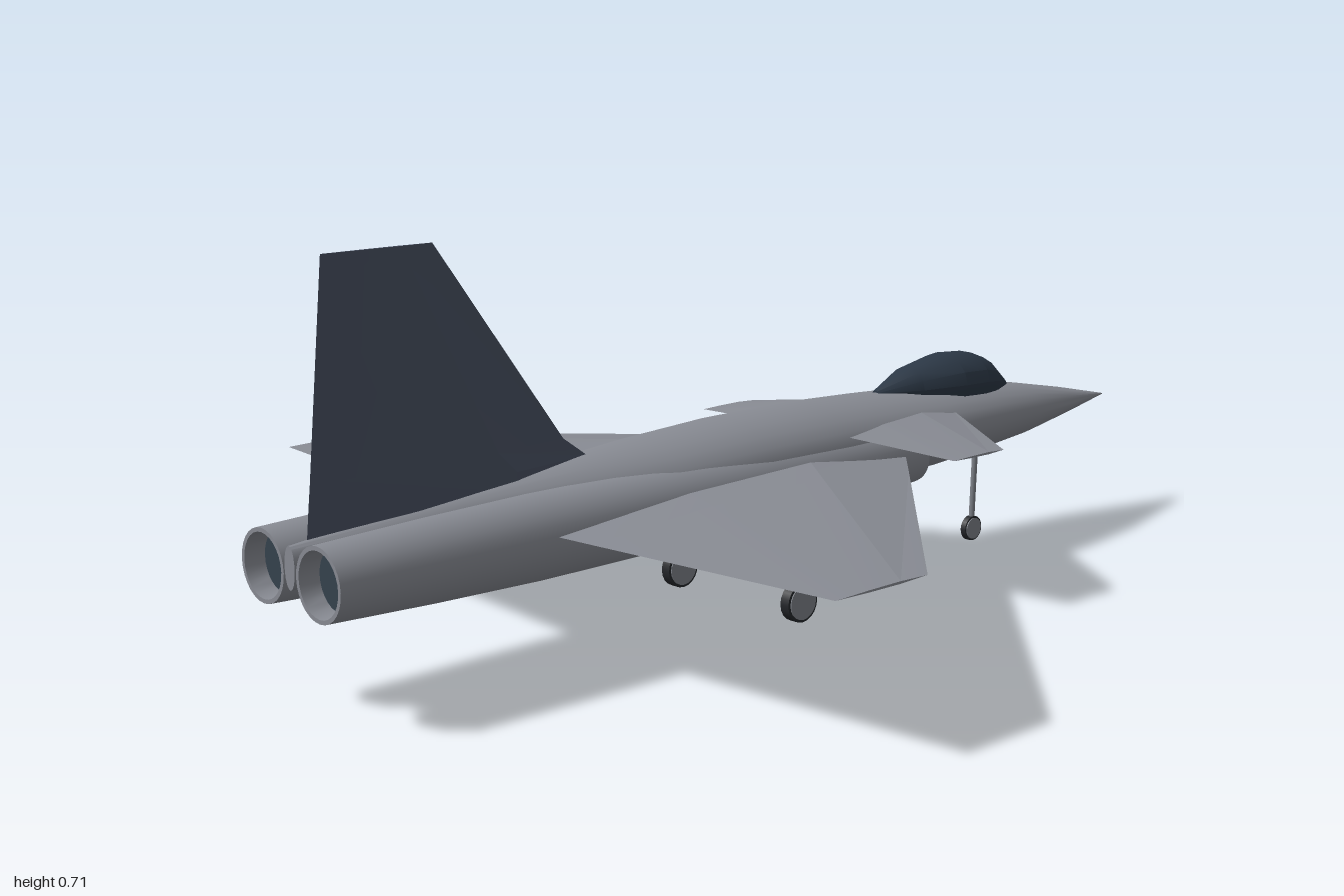
import * as THREE from 'three';
import { toCreasedNormals } from 'three/addons/utils/BufferGeometryUtils.js';

const paint = (name, color) => {
  const m = new THREE.MeshStandardMaterial({ color });
  m.name = name;
  return m;
};

// Closed skin through a list of rings, facing outward, with hard edges above the crease angle
function loft(rings, crease) {
  const n = rings[0].length, pos = rings.flat(2), idx = [];
  rings.forEach((ring, r) => {
    if (r === rings.length - 1) return;
    for (let i = 0; i < n; i++) {
      const a = r * n + i, b = r * n + (i + 1) % n;
      idx.push(a, b, b + n, a, b + n, a + n);
    }
  });
  const last = (rings.length - 1) * n;
  for (let i = 1; i < n - 1; i++) idx.push(0, i + 1, i, last, last + i, last + i + 1);
  // the sign of the enclosed volume tells which way the faces look
  const p = i => new THREE.Vector3(...pos.slice(i * 3, i * 3 + 3));
  let volume = 0;
  for (let i = 0; i < idx.length; i += 3) volume += p(idx[i]).dot(p(idx[i + 1]).cross(p(idx[i + 2])));
  if (volume < 0) idx.reverse();
  const g = new THREE.BufferGeometry();
  g.setAttribute('position', new THREE.Float32BufferAttribute(pos, 3));
  g.setIndex(idx);
  return toCreasedNormals(g, crease);
}

// Oval body from stations [z, half width, top, bottom]
function ovalBody(stations, sides, crease) {
  return loft(stations.map(([z, w, top, bottom]) => Array.from({ length: sides }, (_, i) => {
    const a = i / sides * Math.PI * 2;
    return [Math.cos(a) * w, (top + bottom) / 2 + Math.sin(a) * (top - bottom) / 2, z];
  })), crease);
}

// Faceted aerofoil: leading edge, two upper points, trailing edge, two lower points
const foil = (front, back, mid, up, down) => {
  const at = t => front + (back - front) * t;
  return [[at(0), mid], [at(0.3), mid + up], [at(0.65), mid + up * 0.8],
    [at(1), mid], [at(0.65), mid - down * 0.8], [at(0.3), mid - down]];
};

export function createModel() {
  const model = new THREE.Group();
  model.name = 'jetAircraft';
  const grey = paint('airframe grey', 0x888b93);
  const slate = paint('fin slate', 0x485061);
  const glass = paint('canopy dark blue', 0x2c3846);
  const burner = paint('nozzle dark', 0x35424e);
  const rubber = paint('tyre black', 0x24262a);
  const metal = paint('gear grey', 0x7c8087);

  const add = (name, geometry, material, x = 0, y = 0, z = 0, parent = model) => {
    const mesh = new THREE.Mesh(geometry, material);
    mesh.name = name;
    mesh.position.set(x, y, z);
    parent.add(mesh);
    return mesh;
  };

  // Fuselage, nose toward -z
  add('fuselage', ovalBody([
    [-1, 0.001, 0.246, 0.244], [-0.85, 0.04, 0.279, 0.223], [-0.69, 0.08, 0.31, 0.204],
    [-0.55, 0.1, 0.326, 0.193], [-0.4, 0.117, 0.336, 0.184], [-0.25, 0.122, 0.344, 0.18],
    [-0.1, 0.124, 0.35, 0.18], [0.1, 0.124, 0.35, 0.18], [0.3, 0.117, 0.34, 0.185],
    [0.45, 0.095, 0.33, 0.19], [0.7, 0.055, 0.308, 0.2], [1, 0.014, 0.28, 0.21],
  ], 24, 0.7), grey);

  // Canopy
  add('canopy', ovalBody([
    [-0.665, 0.014, 0.322, 0.296], [-0.59, 0.056, 0.376, 0.29], [-0.55, 0.065, 0.391, 0.284],
    [-0.48, 0.068, 0.396, 0.284], [-0.38, 0.046, 0.38, 0.3], [-0.29, 0.008, 0.346, 0.33],
  ], 14, 0.5), glass);

  // Vertical fin, from the buried root to the tip: [y, front z, back z, half thickness]
  add('fin', loft([
    [0.26, 0.42, 0.97, 0.021], [0.33, 0.42, 0.963, 0.021],
    [0.366, 0.47, 0.959, 0.017], [0.714, 0.722, 0.925, 0.003],
  ].map(([y, front, back, t]) => foil(front, back, 0, t, t).map(([z, x]) => [x, y, z])), 0.1), slate);

  for (const side of [1, -1]) {
    const label = side > 0 ? 'left' : 'right';

    // Wing and foreplane
    const panel = sections => loft(sections.map(([x, ...f]) =>
      foil(...f).map(([z, y]) => [side * x, y, z])), 0.06);
    add(label + 'Wing', panel([
      [0.08, -0.285, 0.605, 0.247, 0.03, 0.036], [0.22, -0.143, 0.594, 0.248, 0.023, 0.034],
      [0.712, 0.36, 0.556, 0.253, 0.002, 0.002],
    ]), grey);
    add(label + 'Foreplane', panel([
      [0.07, -0.428, -0.094, 0.302, 0.012, 0.012], [0.325, -0.28, -0.145, 0.283, 0.002, 0.002],
    ]), grey);

    // Engine tube with a hollow exhaust
    const profile = [[0, -0.3], [0.054, -0.3], [0.066, -0.15], [0.069, 0.2], [0.071, 0.6],
      [0.067, 0.8], [0.06, 1], [0.053, 1], [0.05, 0.96]].map(([r, z]) => new THREE.Vector2(r, z));
    const tube = new THREE.LatheGeometry(profile, 28).rotateX(Math.PI / 2);
    add(label + 'Engine', toCreasedNormals(tube, 0.6), grey, side * 0.077, 0.234, 0);
    add(label + 'ExhaustDisc', new THREE.CircleGeometry(0.053, 28), burner, side * 0.077, 0.234, 0.965);
  }

  // Landing gear legs with wheels
  const leg = (name, x, z, radius, width, top, lean, thick) => {
    const gear = new THREE.Group();
    gear.name = name;
    gear.position.set(x, radius, z);
    model.add(gear);
    const length = top - radius;
    const strut = add('strut', new THREE.CylinderGeometry(thick, thick, Math.hypot(length, lean), 10),
      metal, 0, length / 2, lean / 2, gear);
    strut.rotation.x = Math.atan2(lean, length);
    const wheel = (r, w) => new THREE.CylinderGeometry(r, r, w, 20).rotateZ(Math.PI / 2);
    add('tyre', wheel(radius, width), rubber, 0, 0, 0, gear);
    add('hub', wheel(radius * 0.86, width + 0.004), metal, 0, 0, 0, gear);
  };
  leg('leftMainGear', 0.157, 0.072, 0.036, 0.02, 0.23, -0.016, 0.009);
  leg('rightMainGear', -0.157, 0.072, 0.036, 0.02, 0.23, -0.016, 0.009);
  leg('noseGear', 0, -0.578, 0.025, 0.012, 0.22, -0.01, 0.006);

  return model;
}
